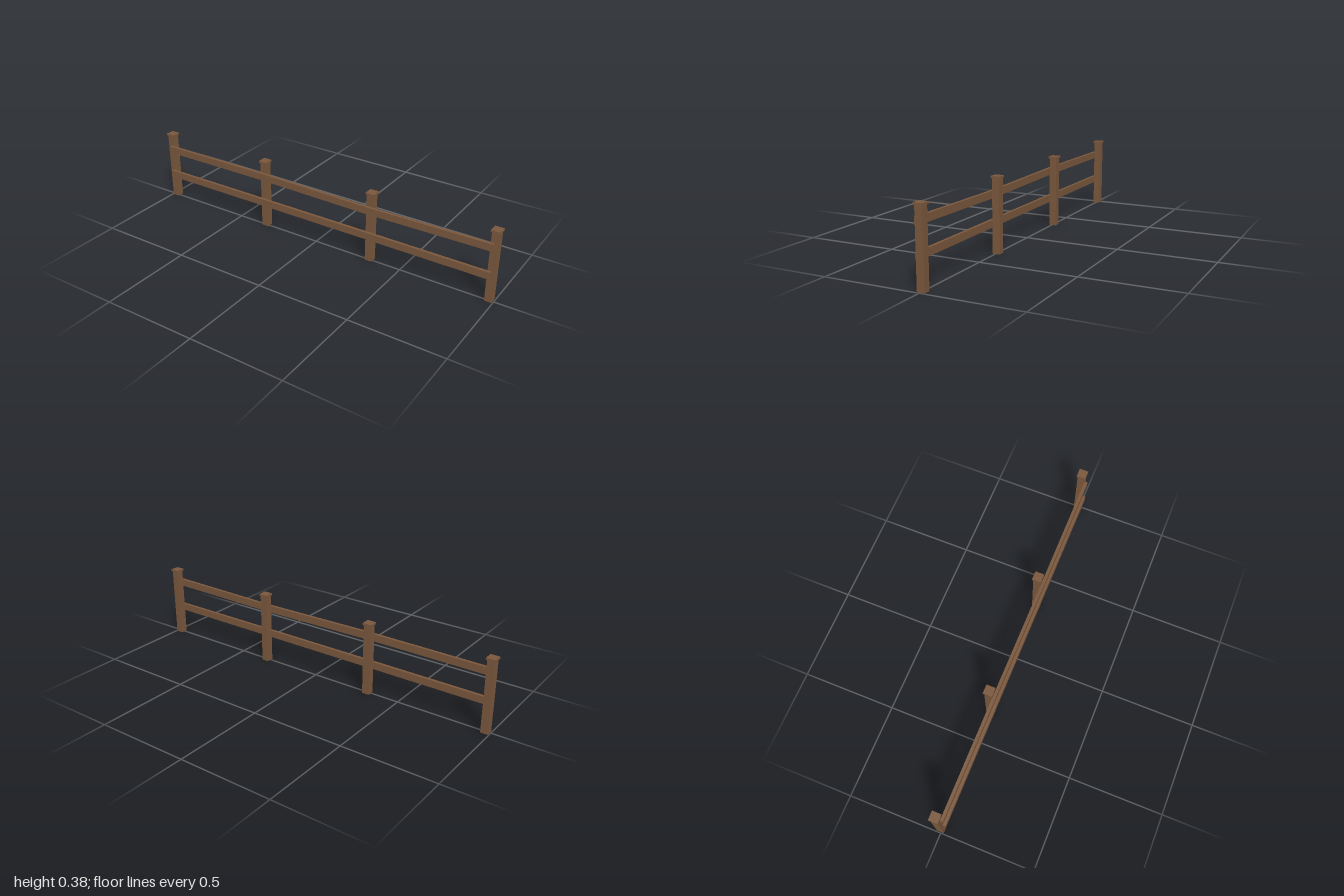
import * as THREE from 'three';

const wood = new THREE.MeshStandardMaterial({ color: 0x7b583d });
wood.name = 'brown wood';

const postX = [-0.976, -0.325, 0.325, 0.976];
const postZ = -0.0045;

function addBox(parent, name, w, h, d, x, y, z) {
  const mesh = new THREE.Mesh(new THREE.BoxGeometry(w, h, d), wood);
  mesh.name = name;
  mesh.position.set(x, y, z);
  parent.add(mesh);
}

// Plank running past every post, with a slightly uneven height at each one
function addRail(parent, name, heights, h) {
  const lower = postX.map((x, i) => new THREE.Vector2(x, heights[i] - h / 2));
  const upper = postX.map((x, i) => new THREE.Vector2(x, heights[i] + h / 2)).reverse();
  const geometry = new THREE.ExtrudeGeometry(new THREE.Shape([...lower, ...upper]), {
    depth: 0.016, bevelEnabled: false,
  });
  const mesh = new THREE.Mesh(geometry, wood);
  mesh.name = name;
  mesh.position.z = 0.014;
  parent.add(mesh);
}

export function createModel() {
  const fence = new THREE.Group();
  fence.name = 'fence';

  // Square posts with flat caps
  for (const x of postX) {
    const post = new THREE.Group();
    post.name = 'post';
    addBox(post, 'postShaft', 0.038, 0.374, 0.038, 0, 0.187, 0);
    addBox(post, 'postCap', 0.048, 0.011, 0.048, 0, 0.3795, 0);
    post.position.set(x, 0, postZ);
    fence.add(post);
  }

  // Rails fixed to the front of the posts
  addRail(fence, 'upperRail', [0.298, 0.301, 0.293, 0.301], 0.038);
  addRail(fence, 'lowerRail', [0.147, 0.149, 0.15, 0.15], 0.038);

  return fence;
}
